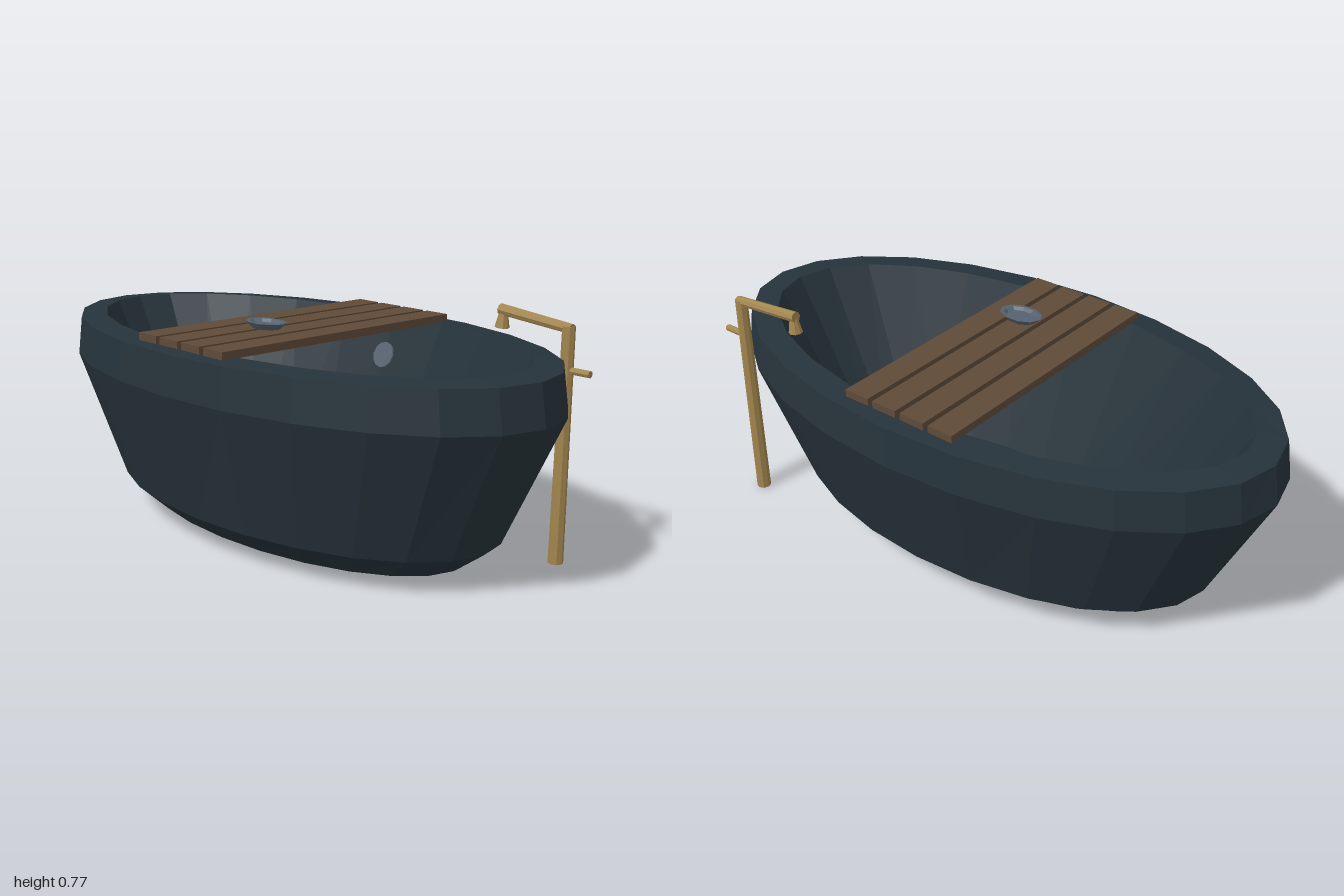
import * as THREE from 'three';

const mat = (name, color) => {
  const m = new THREE.MeshStandardMaterial({ color, flatShading: true });
  m.name = name;
  return m;
};

// Closed shell from elliptical rings [radiusX, radiusZ, y], listed from the underside, over the rim, to the inside
function ellipseShell(rings, sides) {
  const pos = [], idx = [];
  for (const [rx, rz, y] of rings) {
    for (let i = 0; i < sides; i++) {
      const a = (i / sides) * Math.PI * 2;
      pos.push(rx * Math.cos(a), y, rz * Math.sin(a));
    }
  }
  for (let r = 0; r < rings.length - 1; r++) {
    for (let i = 0; i < sides; i++) {
      const j = (i + 1) % sides;
      const a = r * sides + i, b = r * sides + j, c = a + sides, d = b + sides;
      idx.push(a, c, b, b, c, d);
    }
  }
  // flat caps for the underside and the inner floor
  const low = pos.length / 3, high = low + 1, last = (rings.length - 1) * sides;
  pos.push(0, rings[0][2], 0, 0, rings[rings.length - 1][2], 0);
  for (let i = 0; i < sides; i++) {
    const j = (i + 1) % sides;
    idx.push(low, i, j, high, last + j, last + i);
  }
  const g = new THREE.BufferGeometry();
  g.setAttribute('position', new THREE.Float32BufferAttribute(pos, 3));
  g.setIndex(idx);
  const flat = g.toNonIndexed();
  flat.computeVertexNormals();
  return flat;
}

// Tapered rod between two points
function rod(from, to, r0, r1, sides = 8) {
  const a = new THREE.Vector3(...from), b = new THREE.Vector3(...to);
  const dir = b.clone().sub(a);
  const g = new THREE.CylinderGeometry(r1, r0, dir.length(), sides);
  g.applyQuaternion(new THREE.Quaternion().setFromUnitVectors(new THREE.Vector3(0, 1, 0), dir.normalize()));
  g.translate(...a.add(b).multiplyScalar(0.5).toArray());
  return g;
}

export function createModel() {
  const model = new THREE.Group();
  const stone = mat('dark slate', 0x26333b);
  const wood = mat('brown wood', 0x5f4a37);
  const brass = mat('brass', 0xa3864f);
  const steel = mat('grey steel', 0x566270);

  const add = (name, geometry, material, parent = model) => {
    const mesh = new THREE.Mesh(geometry, material);
    mesh.name = name;
    parent.add(mesh);
    return mesh;
  };

  // Tub: bevelled foot, flared wall, thick rim, sloping inside
  add('tub', ellipseShell([
    [0.69, 0.33, 0.03],
    [0.80, 0.42, 0.11],
    [1.00, 0.545, 0.525],
    [0.98, 0.535, 0.652],
    [0.89, 0.445, 0.66],
    [0.59, 0.25, 0.12],
  ], 24), stone);

  // Drain on the floor and overflow on the back wall
  add('drain', new THREE.CylinderGeometry(0.045, 0.045, 0.016, 12).translate(0, 0.125, 0), steel);
  const overflow = add('overflow', new THREE.CylinderGeometry(0.045, 0.045, 0.016, 12), steel);
  overflow.position.set(0, 0.52, -0.394);
  overflow.rotation.x = Math.PI / 2 - 0.35;

  // Bath tray of four slats
  const tray = new THREE.Group();
  tray.name = 'tray';
  model.add(tray);
  for (let i = 0; i < 4; i++) {
    const slat = add('slat', new THREE.BoxGeometry(0.09, 0.025, 0.956), wood, tray);
    slat.position.set(-0.163 + i * 0.108, 0.6675, 0);
  }

  // Soap dish
  const dish = add('soapDish', ellipseShell([
    [0.054, 0.037, 0.694],
    [0.077, 0.053, 0.714],
    [0.063, 0.042, 0.714],
    [0.052, 0.034, 0.704],
  ], 10), steel);
  dish.position.set(0.052, 0, 0.182);

  // Floor standing tap
  const tap = new THREE.Group();
  tap.name = 'tap';
  model.add(tap);
  const z = -0.345;
  add('pole', rod([0.797, 0, z], [0.803, 0.738, z], 0.024, 0.02), brass, tap);
  add('spout', rod([0.815, 0.73, z], [0.545, 0.756, z], 0.016, 0.018), brass, tap);
  add('nozzle', rod([0.552, 0.70, z], [0.557, 0.755, z], 0.023, 0.012), brass, tap);
  add('handle', rod([0.80, 0.606, z], [0.887, 0.606, z], 0.011, 0.011), brass, tap);

  return model;
}
